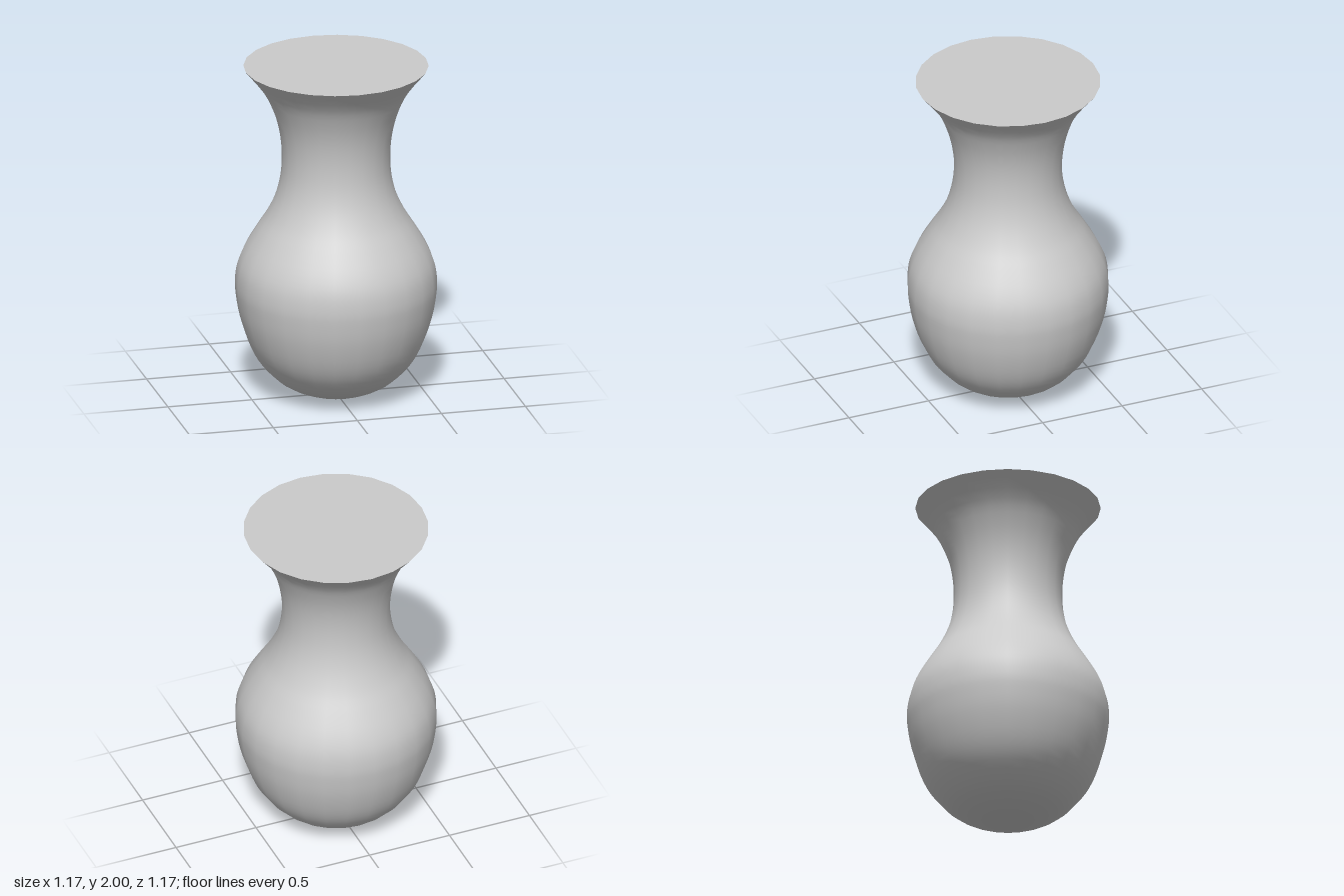
import * as THREE from 'three';

const SIDES = 24;

export function createModel() {
  const group = new THREE.Group();
  group.name = 'vase';
  const material = new THREE.MeshStandardMaterial({ color: 0xcccccc });

  // Outer profile (radius, height), from the foot up to the flared rim
  const points = [
    [0.07, 0], [0.2, 0.03], [0.33, 0.095], [0.435, 0.2], [0.505, 0.32], [0.555, 0.47],
    [0.578, 0.6], [0.583, 0.69], [0.57, 0.79], [0.53, 0.89], [0.465, 1.0], [0.402, 1.1],
    [0.352, 1.21], [0.323, 1.32], [0.313, 1.43], [0.318, 1.54], [0.338, 1.65],
    [0.375, 1.76], [0.43, 1.87], [0.535, 2],
  ].map(([r, y]) => new THREE.Vector2(r, y));
  const profile = new THREE.SplineCurve(points).getPoints(57);
  const body = new THREE.Mesh(new THREE.LatheGeometry(profile, SIDES), material);
  body.name = 'body';
  group.add(body);

  // Flat discs closing the rim and the foot
  const addCap = (name, radius, y, tilt) => {
    const cap = new THREE.Mesh(new THREE.CircleGeometry(radius, SIDES).rotateX(tilt), material);
    cap.name = name;
    cap.position.y = y;
    group.add(cap);
  };
  addCap('topCap', 0.535, 2, -Math.PI / 2);
  addCap('bottomCap', 0.07, 0, Math.PI / 2);

  return group;
}
